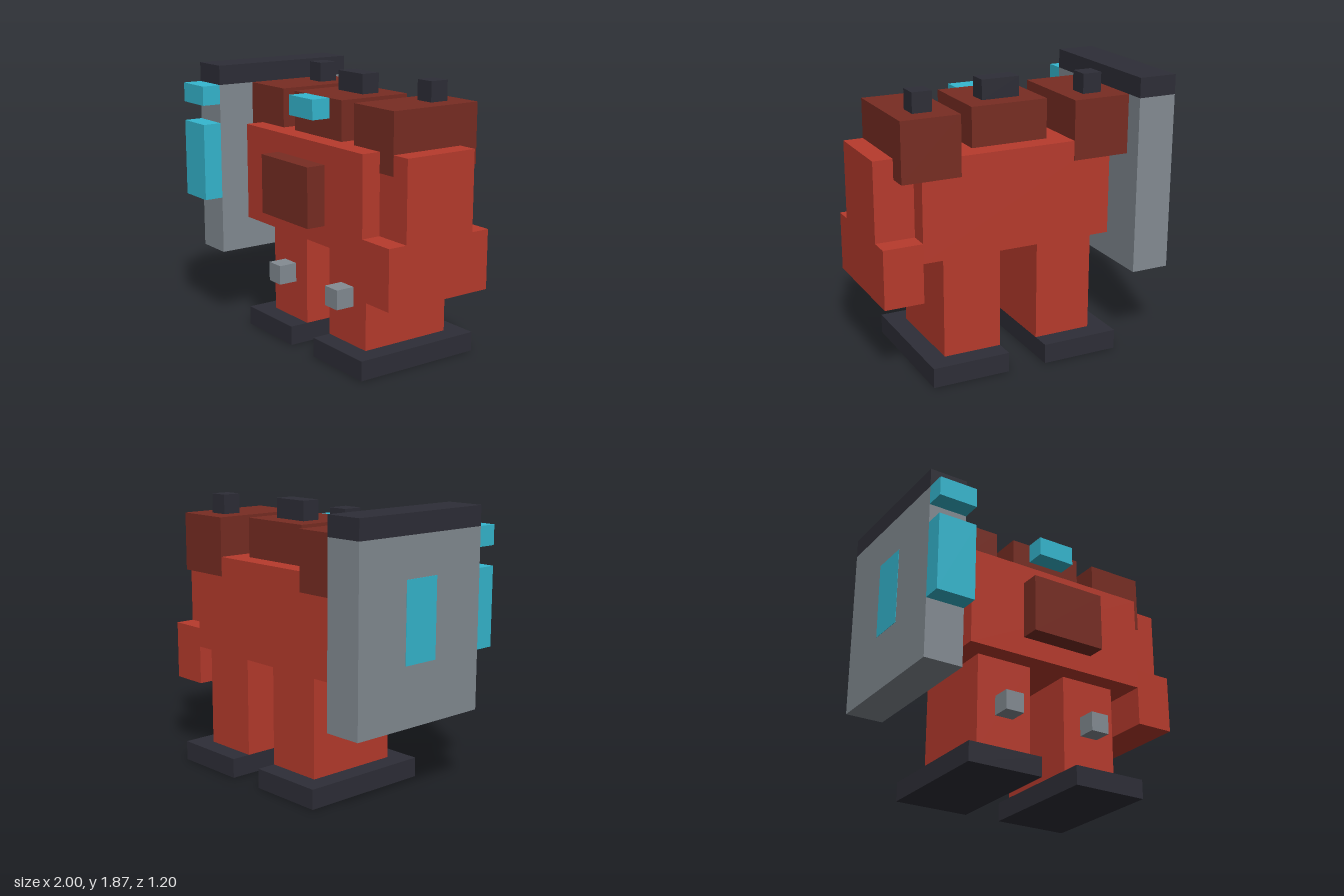
import * as THREE from 'three';

// All parts sit on a regular grid; one cell is 1/15 of a unit.
const U = 1 / 15;

const mat = (name, color) => {
  const m = new THREE.MeshStandardMaterial({ color });
  m.name = name;
  return m;
};

export function createModel() {
  const model = new THREE.Group();
  model.name = 'blockRobot';

  const red = mat('red', 0xb83b2d);
  const maroon = mat('maroon', 0x782d23);
  const dark = mat('charcoal', 0x2e2e37);
  const grey = mat('steel', 0x848c93);
  const cyan = mat('cyan', 0x35b8d0);

  // Block given by its cell ranges on x, y and z
  const block = (name, material, [x0, x1], [y0, y1], [z0, z1]) => {
    const geo = new THREE.BoxGeometry((x1 - x0) * U, (y1 - y0) * U, (z1 - z0) * U);
    const mesh = new THREE.Mesh(geo, material);
    mesh.position.set((x0 + x1) * U / 2, (y0 + y1) * U / 2, (z0 + z1) * U / 2);
    mesh.name = name;
    model.add(mesh);
    return mesh;
  };

  // The body is symmetric about x = 1 cell
  const pair = (name, material, [x0, x1], y, z) => [
    block(name + 'Left', material, [x0, x1], y, z),
    block(name + 'Right', material, [2 - x1, 2 - x0], y, z),
  ];

  // Legs
  pair('foot', dark, [3, 11], [0, 2], [-9, 5]);
  pair('leg', red, [3, 9], [2, 12], [-7, 3]);
  pair('knee', grey, [5, 7], [6, 8], [3, 5]);

  // Torso
  block('torso', red, [-9, 11], [12, 22], [-7, 5]);
  block('chestPlate', maroon, [-3, 5], [14, 20], [5, 7]);

  // Head
  block('head', maroon, [-3, 5], [22, 26], [-5, 3]);
  block('visor', cyan, [-1, 3], [24, 26], [3, 5]);
  block('crest', dark, [-1, 3], [26, 28], [-3, -1]);

  // Shoulders, a hair deeper than the torso so they cover its back face
  pair('shoulder', maroon, [7, 13], [20, 26], [-7.03, 3.03]);
  pair('shoulderStud', dark, [9, 11], [26, 28], [-5, -3]);

  // Left arm
  block('upperArm', red, [11, 15], [14, 22], [-5, 3]);
  block('forearm', red, [11, 15], [8, 14], [-7, 5]);

  // Shield carried on the right side
  block('shield', grey, [-15, -11], [8, 26], [-9, 7]);
  block('shieldCap', dark, [-15, -11], [26, 28], [-9, 7]);
  block('shieldLowerLight', cyan, [-15, -11], [14, 22], [7, 9]);
  block('shieldUpperLight', cyan, [-15, -11], [24, 26], [7, 9]);
  block('shieldSidePanel', cyan, [-15.03, -14.95], [14, 22], [-3, 1]);

  return model;
}
